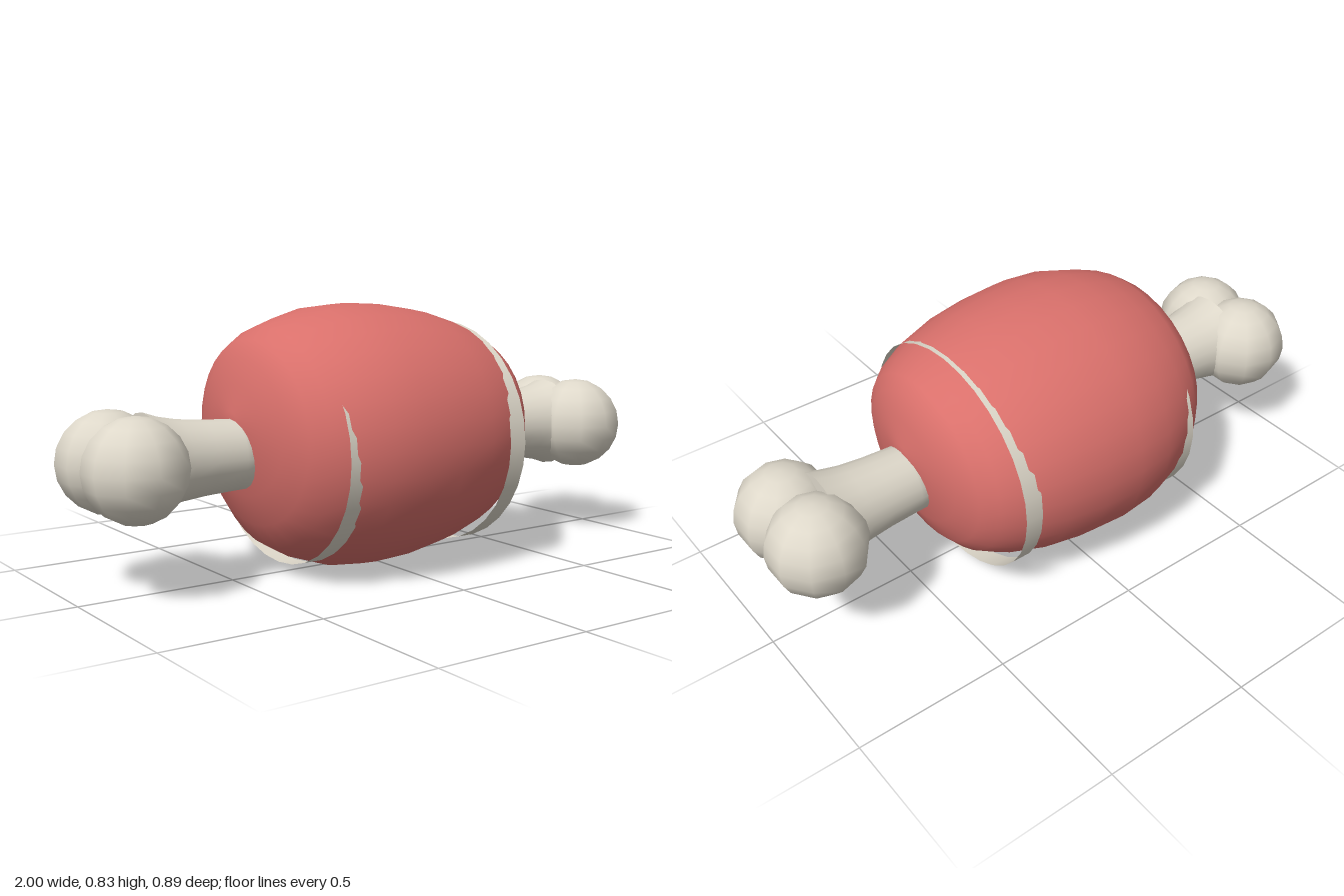
import * as THREE from 'three';

const meat = new THREE.MeshStandardMaterial({ color: 0xd9706b });
meat.name = 'meat red';
const bone = new THREE.MeshStandardMaterial({ color: 0xded8ca });
bone.name = 'bone ivory';
const strap = new THREE.MeshStandardMaterial({ color: 0xded8ca, side: THREE.DoubleSide });
strap.name = 'fat ivory';

// Closed skin through elliptical rings [x, top, bottom, half depth]
function loft(rings, n) {
  const pos = [], index = [];
  for (const [x, top, bottom, rz] of rings) {
    for (let j = 0; j < n; j++) {
      const a = (j / n) * Math.PI * 2;
      pos.push(x, (top + bottom) / 2 + Math.cos(a) * (top - bottom) / 2, Math.sin(a) * rz);
    }
  }
  for (let i = 0; i < rings.length - 1; i++) {
    for (let j = 0; j < n; j++) {
      const a = i * n + j, b = i * n + (j + 1) % n;
      index.push(a, b, a + n, b, b + n, a + n);
    }
  }
  // End poles
  const first = rings[0], last = rings[rings.length - 1];
  const p = pos.length / 3, end = (rings.length - 1) * n;
  pos.push(first[0] - 0.002, (first[1] + first[2]) / 2, 0);
  pos.push(last[0] + 0.002, (last[1] + last[2]) / 2, 0);
  for (let j = 0; j < n; j++) {
    const k = (j + 1) % n;
    index.push(p, k, j, p + 1, end + j, end + k);
  }
  const g = new THREE.BufferGeometry();
  g.setAttribute('position', new THREE.Float32BufferAttribute(pos, 3));
  g.setIndex(index);
  g.computeVertexNormals();
  return g;
}

export function createModel() {
  const model = new THREE.Group();
  const add = (name, geometry, material, parent = model) => {
    const mesh = new THREE.Mesh(geometry, material);
    mesh.name = name;
    parent.add(mesh);
    return mesh;
  };

  // Plump barrel of meat, fuller towards the right-hand end
  add('meat', loft([
    [-0.5, 0.52, 0.46, 0.04],
    [-0.483, 0.6, 0.36, 0.15],
    [-0.46, 0.68, 0.26, 0.24],
    [-0.425, 0.735, 0.165, 0.32],
    [-0.375, 0.77, 0.09, 0.365],
    [-0.3, 0.797, 0.047, 0.403],
    [-0.2, 0.825, 0.013, 0.435],
    [-0.08, 0.835, 0.002, 0.447],
    [0.05, 0.828, 0.009, 0.44],
    [0.18, 0.808, 0.032, 0.422],
    [0.3, 0.772, 0.071, 0.387],
    [0.38, 0.735, 0.115, 0.343],
    [0.425, 0.71, 0.165, 0.295],
    [0.46, 0.675, 0.25, 0.225],
    [0.483, 0.6, 0.36, 0.14],
    [0.5, 0.52, 0.46, 0.04],
  ], 32), meat);

  // Thin bands round each end of the meat
  for (const [name, x] of [['rightBand', -0.305], ['leftBand', 0.3]]) {
    const band = new THREE.CylinderGeometry(1, 1, 0.06, 32, 1, true);
    band.rotateZ(Math.PI / 2).scale(1, 0.365, 0.4);
    add(name, band, strap).position.set(x, 0.4, 0);
  }

  // Bone ends: flared shaft with a pair of knuckles
  const flare = [[0, 0.4], [0.106, 0.4], [0.109, 0.5], [0.114, 0.6], [0.122, 0.68], [0.134, 0.74], [0.15, 0.787]];
  const shaft = flare.map(([r, h]) => new THREE.Vector2(r, h));
  for (const [name, turn] of [['leftBone', 0], ['rightBone', Math.PI]]) {
    const group = new THREE.Group();
    group.name = name;
    group.position.y = 0.39;
    group.rotation.y = turn;
    model.add(group);
    add('shaft', new THREE.LatheGeometry(shaft, 20).rotateZ(-Math.PI / 2), bone, group);
    const cap = add('shaftEnd', new THREE.CircleGeometry(0.15, 20).rotateY(Math.PI / 2), bone, group);
    cap.position.x = 0.787;
    for (const side of [-1, 1]) {
      const knuckle = new THREE.SphereGeometry(0.155, 10, 10).rotateY(Math.PI / 2);
      add('knuckle', knuckle, bone, group).position.set(0.853, 0, side * 0.092);
    }
  }
  return model;
}
